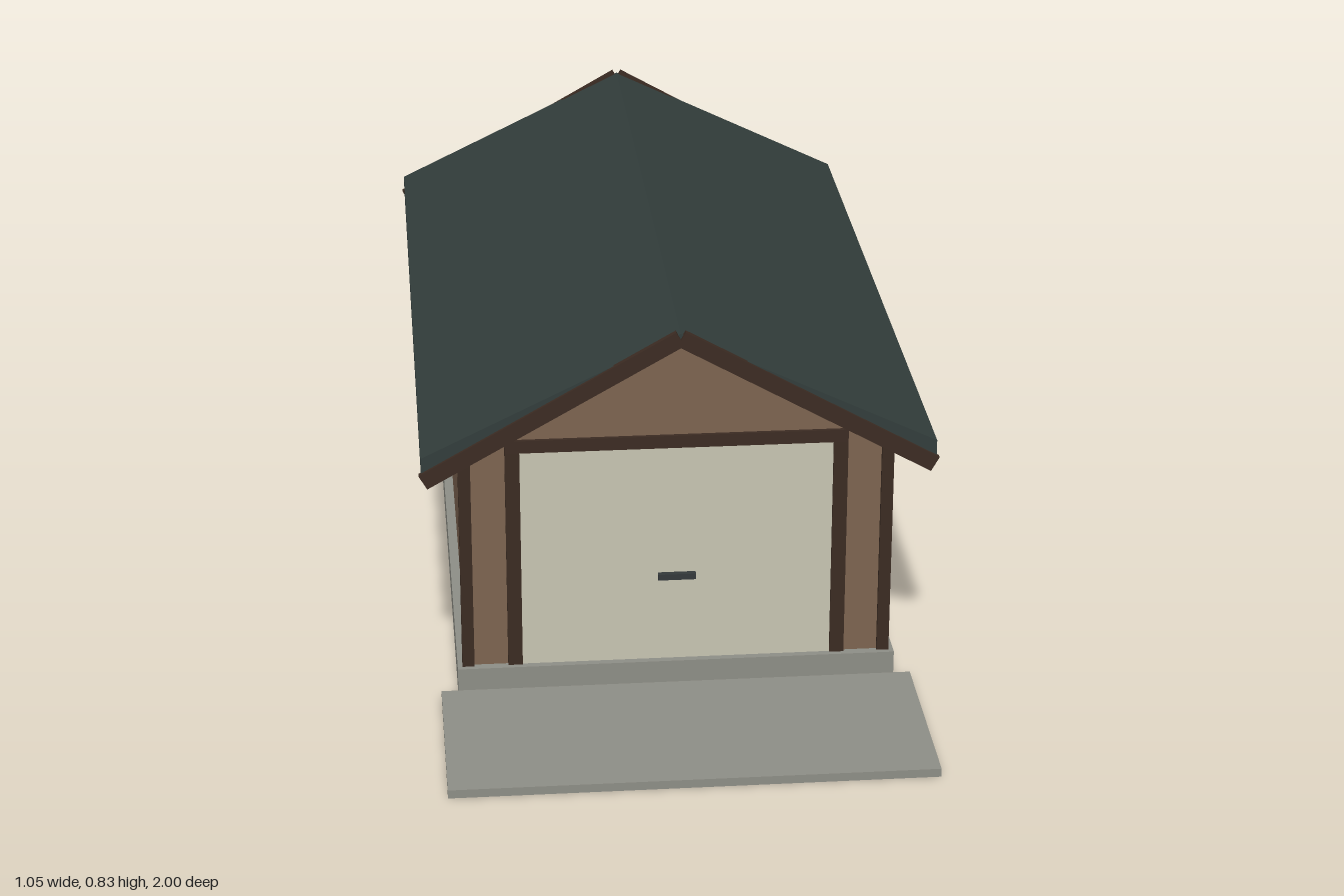
import * as THREE from 'three';

const mat = (name, color) => {
  const m = new THREE.MeshStandardMaterial({ color });
  m.name = name;
  return m;
};

export function createModel() {
  const siding = mat('brown siding', 0x7c6450);
  const timber = mat('dark timber', 0x3b2b22);
  const roofing = mat('slate roofing', 0x323d3b);
  const concrete = mat('concrete', 0x8d8e86);
  const cream = mat('cream door', 0xc7c4b2);
  const glass = mat('window glass', 0x363f42);
  const metal = mat('dark metal', 0x33383a);

  const model = new THREE.Group();
  model.name = 'garage';

  const add = (parent, name, geometry, material) => {
    const mesh = new THREE.Mesh(geometry, material);
    mesh.name = name;
    parent.add(mesh);
    return mesh;
  };
  // Box given by its lower and upper corners
  const box = (parent, name, material, [x0, y0, z0], [x1, y1, z1]) => {
    const mesh = add(parent, name, new THREE.BoxGeometry(x1 - x0, y1 - y0, z1 - z0), material);
    mesh.position.set((x0 + x1) / 2, (y0 + y1) / 2, (z0 + z1) / 2);
    return mesh;
  };
  // Outline in x and y, extruded from z0 to z1
  const prism = (name, material, points, z0, z1) => {
    const shape = new THREE.Shape(points.map(([x, y]) => new THREE.Vector2(x, y)));
    const geometry = new THREE.ExtrudeGeometry(shape, { depth: z1 - z0, bevelEnabled: false });
    add(model, name, geometry, material).position.z = z0;
  };
  const group = (name) => {
    const g = new THREE.Group();
    g.name = name;
    model.add(g);
    return g;
  };

  const floor = 0.067, wallX = 0.435, wallFront = 0.575, wallBack = -0.915;

  // Ground works
  box(model, 'foundation', concrete, [-0.455, 0, -0.93], [0.455, floor, 0.594]);
  box(model, 'driveway', concrete, [-0.49, 0, 0.594], [0.49, 0.018, 1]);

  // Walls with gables
  prism('walls', siding,
    [[-wallX, floor], [wallX, floor], [wallX, 0.574], [0, 0.786], [-wallX, 0.574]], wallBack, wallFront);

  // Roof of two pitched slabs
  prism('roof', roofing,
    [[-0.52, 0.54], [0, 0.797], [0.52, 0.54], [0.52, 0.575], [0, 0.826], [-0.52, 0.575]], -0.994, 0.65);

  for (const s of [-1, 1]) {
    // Corner trims
    for (const [z0, z1] of [[0.56, 0.583], [-0.923, -0.898]]) {
      box(model, 'cornerTrim', timber,
        [s > 0 ? 0.42 : -0.445, floor, z0], [s > 0 ? 0.445 : -0.42, 0.56, z1]);
    }
    // Barge boards along the gable edges
    for (const z of [0.651, -0.994]) {
      const board = add(model, 'bargeBoard', new THREE.BoxGeometry(0.592, 0.034, 0.012), timber);
      board.position.set(s * 0.259, 0.671, z);
      board.rotation.z = -s * 0.515;
    }
  }

  // Garage door with frame and handle
  const garageDoor = group('garageDoor');
  box(garageDoor, 'doorPanel', cream, [-0.32, floor, 0.57], [0.32, 0.548, 0.579]);
  box(garageDoor, 'doorFrameTop', timber, [-0.35, 0.548, 0.57], [0.35, 0.575, 0.583]);
  box(garageDoor, 'doorFrameLeft', timber, [0.32, floor, 0.57], [0.35, 0.548, 0.583]);
  box(garageDoor, 'doorFrameRight', timber, [-0.35, floor, 0.57], [-0.32, 0.548, 0.583]);
  box(garageDoor, 'doorHandle', metal, [-0.039, 0.253, 0.577], [0.039, 0.266, 0.591]);

  // Back door: ledges, stiles and a diagonal brace
  const backDoor = group('backDoor');
  const [dx0, dx1, dy1, w] = [-0.342, -0.092, 0.57, 0.036];
  const z0 = -0.928, z1 = -0.91;
  box(backDoor, 'backDoorStile', timber, [dx0, floor, z0], [dx0 + w, dy1, z1]);
  box(backDoor, 'backDoorStile', timber, [dx1 - w, floor, z0], [dx1, dy1, z1]);
  box(backDoor, 'backDoorTopRail', timber, [dx0 + w, dy1 - w, z0], [dx1 - w, dy1, z1]);
  box(backDoor, 'backDoorBottomRail', timber, [dx0 + w, floor, z0], [dx1 - w, floor + w, z1]);
  const runX = dx1 - dx0 - 2 * w, runY = dy1 - floor - 2 * w;
  const brace = add(backDoor, 'backDoorBrace',
    new THREE.BoxGeometry(0.026, Math.hypot(runX, runY), 0.013), timber);
  brace.position.set((dx0 + dx1) / 2, (floor + dy1) / 2, -0.919);
  brace.rotation.z = Math.atan2(runX, runY);
  box(backDoor, 'backDoorHandle', metal, [-0.294, 0.3, -0.937], [-0.282, 0.343, -0.912]);

  // Two windows in the left wall
  for (const z of [-0.04, -0.543]) {
    const win = group('window');
    const [a, b, y0, y1, t] = [z - 0.136, z + 0.136, 0.306, 0.498, 0.016];
    const bar = (name, lo, hi, x1) => box(win, name, timber, [0.43, ...lo], [x1, ...hi]);
    box(win, 'windowPane', glass, [0.43, y0 + t, a + t], [0.439, y1 - t, b - t]);
    bar('windowHead', [y1 - t, a], [y1, b], 0.447);
    bar('windowSill', [y0, a], [y0 + t, b], 0.447);
    bar('windowJamb', [y0 + t, a], [y1 - t, a + t], 0.447);
    bar('windowJamb', [y0 + t, b - t], [y1 - t, b], 0.447);
    bar('windowMullion', [y0 + t, z - 0.005], [y1 - t, z + 0.005], 0.444);
    bar('windowCrossbar', [0.397, a + t], [0.407, b - t], 0.443);
  }

  return model;
}
